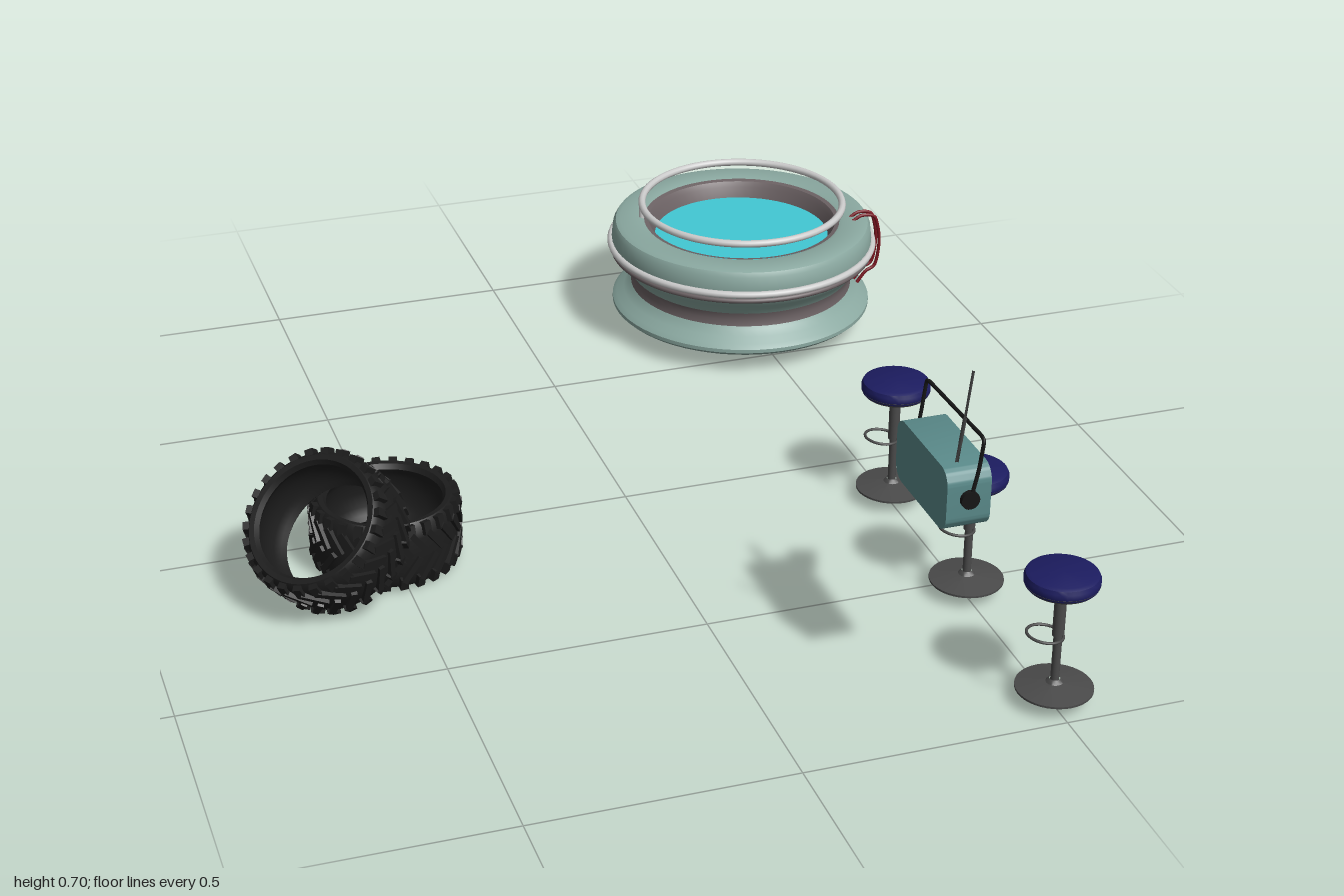
import * as THREE from 'three';
import { toCreasedNormals } from 'three/addons/utils/BufferGeometryUtils.js';

const mat = (color) => new THREE.MeshStandardMaterial({ color });
const MAT = {
  shell: mat(0x8aa8a0), trim: mat(0x6c6264), white: mat(0xe4e4e4), water: mat(0x42c8d4),
  red: mat(0x7a1520), rubber: mat(0x1c1c1c), seat: mat(0x1c1c60), metal: mat(0x4a4a4a),
  black: mat(0x161616), teal: mat(0x5a8a8a), blue: mat(0x3f6ca8), slate: mat(0x443e42),
};

function add(parent, name, geometry, material, x = 0, y = 0, z = 0) {
  const mesh = new THREE.Mesh(geometry, material);
  mesh.name = name;
  mesh.position.set(x, y, z);
  parent.add(mesh);
  return mesh;
}

function group(parent, name, x = 0, y = 0, z = 0) {
  const g = new THREE.Group();
  g.name = name;
  g.position.set(x, y, z);
  parent.add(g);
  return g;
}

const lathe = (pts, segments = 64) => toCreasedNormals(
  new THREE.LatheGeometry(pts.map(([r, y]) => new THREE.Vector2(r, y)), segments), 0.6);

const tube = (pts, radius, segments = 32, tension = 0.5) => new THREE.TubeGeometry(
  new THREE.CatmullRomCurve3(pts.map((p) => new THREE.Vector3(...p)), false, 'catmullrom', tension),
  segments, radius, 8);

const ring = (radius, thickness, arc = Math.PI * 2) =>
  new THREE.TorusGeometry(radius, thickness, 10, 72, arc).rotateX(Math.PI / 2);

// Round pool: flared foot, dark waist, bulging upper wall and water
function addPool(parent) {
  const pool = group(parent, 'pool', 0.495, 0, -0.7);
  add(pool, 'poolFoot', lathe([[0, 0.03], [0.15, 0.032], [0.24, 0.04], [0.278, 0.048], [0.287, 0.056],
    [0.287, 0.064], [0.278, 0.073], [0.262, 0.083], [0.25, 0.095], [0.243, 0.105]]), MAT.shell);
  add(pool, 'poolWaist', lathe([[0.25, 0.09], [0.246, 0.1], [0.244, 0.115], [0.246, 0.13], [0.252, 0.142]]), MAT.trim);
  add(pool, 'poolWall', lathe([[0.247, 0.132], [0.256, 0.146], [0.27, 0.16], [0.282, 0.173], [0.288, 0.186],
    [0.289, 0.21], [0.286, 0.236], [0.28, 0.246], [0.27, 0.25], [0.225, 0.25], [0.214, 0.246]]), MAT.shell);
  add(pool, 'poolInnerWall', lathe([[0.217, 0.248], [0.207, 0.246], [0.2, 0.235], [0.19, 0.205]]), MAT.trim);
  add(pool, 'water', new THREE.CircleGeometry(0.193, 64).rotateX(-Math.PI / 2), MAT.water, 0, 0.212, 0);
  add(pool, 'bumperRing', ring(0.291, 0.008), MAT.white, 0, 0.198, 0);
  add(pool, 'bumperSeam', ring(0.286, 0.006), MAT.trim, 0, 0.182, 0);
  add(pool, 'handrail', ring(0.222, 0.008), MAT.white, 0, 0.287, 0);
  add(pool, 'handrailPost', new THREE.CylinderGeometry(0.006, 0.006, 0.045, 12), MAT.white, -0.211, 0.265, -0.07);
  // Pair of red hoses hooked over the rim
  for (const z of [0.07, 0.09]) {
    add(pool, 'redHose', tube([[0.23, 0.247, z], [0.25, 0.258, z], [0.278, 0.254, z], [0.288, 0.235, z],
      [0.295, 0.19, z], [0.287, 0.135, z], [0.265, 0.12, z], [0.245, 0.095, z]], 0.0038), MAT.red);
  }
}

// Bar stool with a footrest loop
function addStool(parent, z) {
  const stool = group(parent, 'stool', 0.507, 0, z);
  add(stool, 'stoolBase', lathe([[0, 0.03], [0.071, 0.03], [0.071, 0.034], [0.04, 0.039], [0.016, 0.043], [0.01, 0.05]], 40), MAT.metal);
  add(stool, 'stoolPole', new THREE.CylinderGeometry(0.008, 0.008, 0.2, 20), MAT.metal, 0, 0.143, 0);
  add(stool, 'poleSleeve', new THREE.CylinderGeometry(0.011, 0.011, 0.1, 20), MAT.metal, 0, 0.19, 0);
  add(stool, 'seatRim', new THREE.CylinderGeometry(0.068, 0.062, 0.009, 40), MAT.metal, 0, 0.246, 0);
  add(stool, 'seatCushion', lathe([[0, 0.246], [0.066, 0.246], [0.068, 0.252], [0.068, 0.262],
    [0.065, 0.268], [0.058, 0.271], [0, 0.272]], 40), MAT.seat);
  const footrest = add(stool, 'footrest', ring(0.033, 0.0028), MAT.metal, -0.026, 0.147, 0);
  footrest.rotation.z = -0.12;
}

// Hollow tyre, axis along local y, with chevron tread blocks
function addTyre(parent, name, x, y, z, axis) {
  const tyre = group(parent, name, x, y, z);
  tyre.quaternion.setFromUnitVectors(new THREE.Vector3(0, 1, 0), new THREE.Vector3(...axis).normalize());
  add(tyre, 'tyreCarcass', lathe([[0.112, -0.056], [0.118, -0.066], [0.128, -0.067], [0.136, -0.058], [0.14, -0.035],
    [0.142, 0], [0.14, 0.035], [0.136, 0.058], [0.128, 0.067], [0.118, 0.066], [0.112, 0.056],
    [0.118, 0.045], [0.126, 0.03], [0.128, 0], [0.126, -0.03], [0.118, -0.045], [0.112, -0.056]]), MAT.rubber);
  const bar = new THREE.BoxGeometry(0.013, 0.058, 0.012);
  const lug = new THREE.BoxGeometry(0.02, 0.026, 0.016);
  const count = 26;
  for (let i = 0; i < count; i++) {
    for (const side of [-1, 1]) {
      const spoke = group(tyre, 'treadSection');
      spoke.rotation.y = ((i + (side > 0 ? 0.5 : 0)) / count) * Math.PI * 2;
      add(spoke, 'treadBar', bar, MAT.rubber, 0.141, side * 0.026, 0).rotation.x = side * 0.65;
      const shoulder = add(spoke, 'shoulderLug', lug, MAT.rubber, 0.134, side * 0.053, -0.0);
      shoulder.position.z = 0.016;
      shoulder.rotation.z = side * 0.25;
    }
  }
}

function roundedRect(w, h, r) {
  const s = new THREE.Shape();
  const x = w / 2, y = h / 2;
  s.absarc(x - r, y - r, r, 0, Math.PI / 2);
  s.absarc(-x + r, y - r, r, Math.PI / 2, Math.PI);
  s.absarc(-x + r, -y + r, r, Math.PI, Math.PI * 1.5);
  s.absarc(x - r, -y + r, r, Math.PI * 1.5, Math.PI * 2);
  return s;
}

// Slab standing across z, thickness along x
const slab = (w, h, r, depth) => toCreasedNormals(
  new THREE.ExtrudeGeometry(roundedRect(w, h, r), { depth, bevelEnabled: false, curveSegments: 8 })
    .translate(0, 0, -depth / 2).rotateY(Math.PI / 2), 0.6);

// Portable radio facing +x
function addRadio(parent) {
  const radio = group(parent, 'radio', 0.322, 0.44, 0.805);
  add(radio, 'radioBody', slab(0.222, 0.12, 0.03, 0.082), MAT.teal);
  add(radio, 'lowerPanel', slab(0.212, 0.05, 0.022, 0.003), MAT.blue, 0.042, -0.031, 0);
  add(radio, 'grillePanel', slab(0.136, 0.046, 0.006, 0.003), MAT.black, 0.042, 0.022, 0);
  for (let row = 0; row < 3; row++) {
    for (let i = 0; i < 9; i++) {
      add(radio, 'grilleSlot', new THREE.BoxGeometry(0.002, 0.007, 0.008), MAT.teal, 0.0435, 0.008 + row * 0.014, (i - 4) * 0.0138);
    }
  }
  for (let i = 0; i < 10; i++) {
    add(radio, 'panelButton', new THREE.BoxGeometry(0.002, 0.004, 0.011), MAT.slate, 0.0435, -0.022, (i - 4.5) * 0.018);
  }
  for (const side of [-1, 1]) {
    add(radio, 'dial', new THREE.CylinderGeometry(0.013, 0.013, 0.005, 24).rotateZ(Math.PI / 2), MAT.black, 0.042, 0.018, side * 0.09);
    add(radio, 'dialCap', new THREE.CylinderGeometry(0.007, 0.007, 0.003, 20).rotateZ(Math.PI / 2), MAT.teal, 0.0445, 0.018, side * 0.09);
    add(radio, 'handlePivot', new THREE.CylinderGeometry(0.017, 0.017, 0.012, 24).rotateX(Math.PI / 2), MAT.black, 0, 0.005, side * 0.114);
  }
  // Carry handle leaning forward, slightly twisted
  add(radio, 'handle', tube([[-0.002, 0.005, -0.117], [0.006, 0.06, -0.117], [0.012, 0.112, -0.116], [0.013, 0.121, -0.108],
    [0.016, 0.121, 0], [0.019, 0.121, 0.108], [0.019, 0.112, 0.116], [0.012, 0.06, 0.117], [0, 0.005, 0.117]], 0.0035, 64, 0.2), MAT.black);
  // Telescopic antenna
  add(radio, 'antennaLower', tube([[-0.012, 0.055, 0.078], [-0.012, 0.16, 0.102]], 0.0035, 2), MAT.metal);
  add(radio, 'antennaUpper', tube([[-0.012, 0.15, 0.1], [-0.012, 0.26, 0.124]], 0.0025, 2), MAT.metal);

  // Loose tape beside the radio
  const tape = group(parent, 'tape', 0.359, 0.379, 0.636);
  tape.rotation.y = -0.37;
  add(tape, 'tapeCase', new THREE.BoxGeometry(0.048, 0.008, 0.078), MAT.slate);
  add(tape, 'tapeWindow', new THREE.BoxGeometry(0.018, 0.002, 0.044), MAT.black, 0, 0.004, 0);
  for (const side of [-1, 1]) {
    add(tape, 'tapeReel', new THREE.CylinderGeometry(0.005, 0.005, 0.002, 12), MAT.white, 0, 0.0045, side * 0.014);
  }
}

export function createModel() {
  const model = new THREE.Group();
  model.name = 'poolsideSet';
  addPool(model);
  for (const z of [0.165, 0.537, 0.925]) addStool(model, z);
  addTyre(model, 'flatTyre', -0.512, 0.078, 0.08, [0, 1, 0]);
  addTyre(model, 'leaningTyre', -0.65, 0.15, 0.195, [-0.5, 0.7, 0.42]);
  addRadio(model);
  return model;
}
